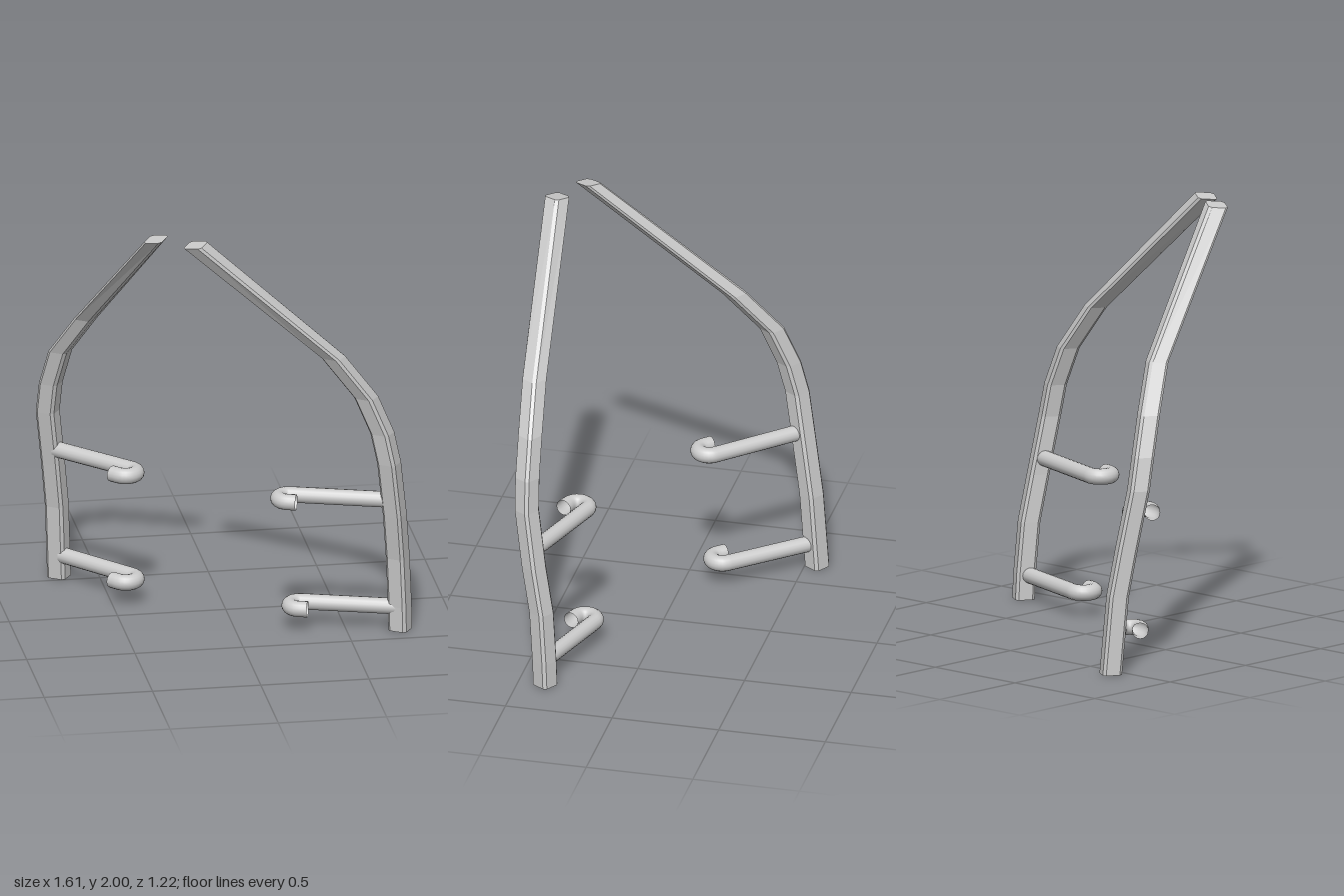
import * as THREE from 'three';

const grey = new THREE.MeshStandardMaterial({ color: 0xcccccc, flatShading: true });
const tubeGrey = new THREE.MeshStandardMaterial({ color: 0xcccccc, side: THREE.DoubleSide });

// Chamfered square section, turned to the angle of the frame
const HALF = 0.045, CUT = 0.013, TURN = 0.581;
const section = [];
for (let k = 0; k < 4; k++) {
  for (const [u, v] of [[HALF, HALF - CUT], [HALF - CUT, HALF]]) {
    const a = TURN + k * Math.PI / 2;
    section.push([u * Math.cos(a) - v * Math.sin(a), u * Math.sin(a) + v * Math.cos(a)]);
  }
}

// Bent bar: level copies of the section joined along [x, y, z] centres
function makePost(name, path) {
  const n = section.length, pos = [], index = [];
  path.forEach(([x, y, z], i) => {
    const tilt = i === path.length - 1 ? 0.18 : 0;
    for (const [dx, dz] of section) pos.push(x + dx, y + tilt * dx, z + dz);
  });
  for (let i = 0; i < path.length - 1; i++) {
    for (let j = 0; j < n; j++) {
      const a = i * n + j, b = i * n + (j + 1) % n;
      index.push(b, a, a + n, b, a + n, b + n);
    }
  }
  // End caps
  const top = (path.length - 1) * n;
  for (let j = 1; j < n - 1; j++) {
    index.push(0, j, j + 1, top, top + j + 1, top + j);
  }
  const geo = new THREE.BufferGeometry();
  geo.setAttribute('position', new THREE.Float32BufferAttribute(pos, 3));
  geo.setIndex(index);
  geo.computeVertexNormals();
  const mesh = new THREE.Mesh(geo, grey);
  mesh.name = name;
  return mesh;
}

// Hooked arm: straight tube, half-turn and a short return; side picks the way it curls
function makeHook(name, y, [sx, sz], [ex, ez], side) {
  const start = new THREE.Vector3(sx, y, sz), end = new THREE.Vector3(ex, y, ez);
  const dir = end.clone().sub(start).normalize();
  const across = new THREE.Vector3(-dir.z, 0, dir.x).multiplyScalar(side);
  const bend = 0.05;
  const centre = end.clone().addScaledVector(across, bend);
  const arc = [];
  for (let i = 0; i <= 10; i++) {
    const a = Math.PI * i / 10;
    arc.push(centre.clone()
      .addScaledVector(across, -bend * Math.cos(a))
      .addScaledVector(dir, bend * Math.sin(a)));
  }
  const path = new THREE.CurvePath();
  path.add(new THREE.LineCurve3(start, end));
  path.add(new THREE.CatmullRomCurve3(arc));
  path.add(new THREE.LineCurve3(arc[10], arc[10].clone().addScaledVector(dir, -0.04)));
  const mesh = new THREE.Mesh(new THREE.TubeGeometry(path, 60, 0.037, 16), tubeGrey);
  mesh.name = name;
  return mesh;
}

export function createModel() {
  const model = new THREE.Group();
  model.name = 'hookedBars';

  const right = new THREE.Group();
  right.name = 'rightBar';
  right.add(
    makePost('rightPost', [
      [-0.68, 0, -0.555], [-0.685, 0.12, -0.545], [-0.695, 0.36, -0.525], [-0.718, 0.58, -0.49],
      [-0.75, 0.85, -0.445], [-0.742, 1.0, -0.407], [-0.71, 1.18, -0.335],
      [-0.617, 1.39, -0.18], [-0.395, 1.99, 0.45],
    ]),
    makeHook('rightUpperHook', 0.655, [-0.71, -0.455], [-0.41, -0.14], 1),
    makeHook('rightLowerHook', 0.113, [-0.67, -0.52], [-0.397, -0.202], 1),
  );

  const left = new THREE.Group();
  left.name = 'leftBar';
  left.add(
    makePost('leftPost', [
      [0.745, 0, 0.375], [0.742, 0.12, 0.38], [0.73, 0.36, 0.397], [0.71, 0.58, 0.437],
      [0.677, 0.85, 0.478], [0.645, 1.0, 0.483], [0.57, 1.18, 0.488],
      [0.415, 1.39, 0.505], [-0.23, 1.99, 0.555],
    ]),
    makeHook('leftUpperHook', 0.655, [0.69, 0.44], [0.252, 0.3], -1),
    makeHook('leftLowerHook', 0.113, [0.73, 0.382], [0.312, 0.25], -1),
  );

  model.add(right, left);
  return model;
}
